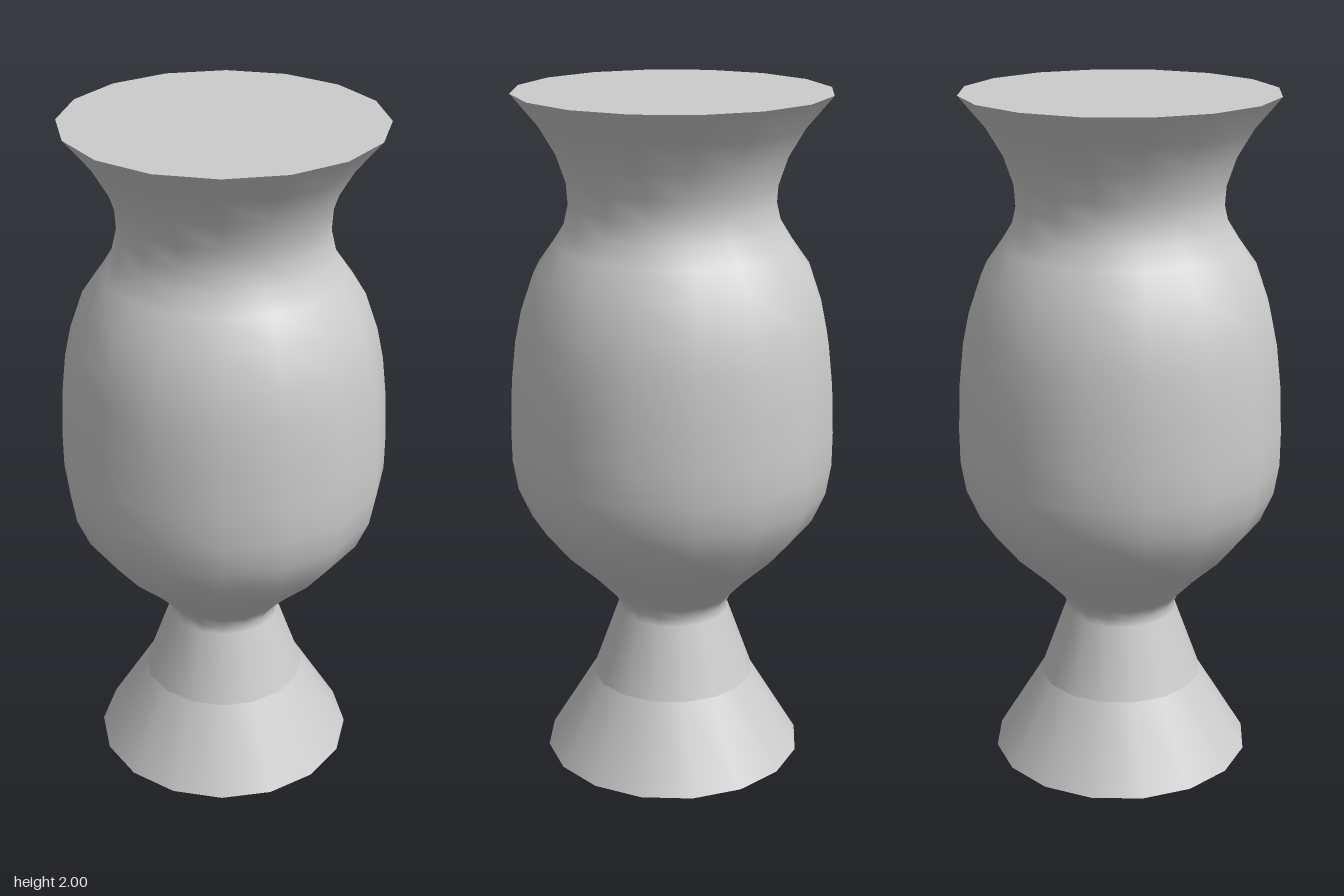
import * as THREE from 'three';

const SIDES = 16;

export function createModel() {
  const group = new THREE.Group();
  const material = new THREE.MeshStandardMaterial({ color: 0xcccccc });

  const add = (name, geometry) => {
    const mesh = new THREE.Mesh(geometry, material);
    mesh.name = name;
    group.add(mesh);
    return mesh;
  };
  // Profiles are lists of [radius, height], from bottom to top
  const lathe = (name, profile) =>
    add(name, new THREE.LatheGeometry(profile.map(([r, y]) => new THREE.Vector2(r, y)), SIDES));
  const disc = (name, radius, y, facing) => {
    const mesh = add(name, new THREE.CircleGeometry(radius, SIDES));
    mesh.rotation.x = -facing * Math.PI / 2;
    mesh.position.y = y;
  };

  // Flared foot, with a crease where it meets the stem
  lathe('foot', [[0.387, 0], [0.243, 0.24]]);

  // Stem, rounded bowl, pinched neck and flared rim in one smooth sweep
  lathe('body', [
    [0.243, 0.24], [0.168, 0.45], [0.165, 0.475], [0.18, 0.505],
    [0.26, 0.59], [0.345, 0.67], [0.42, 0.762], [0.458, 0.85], [0.473, 0.94],
    [0.474, 1.04], [0.468, 1.18], [0.455, 1.3], [0.436, 1.39], [0.398, 1.5],
    [0.345, 1.575], [0.311, 1.63], [0.297, 1.69], [0.301, 1.75],
    [0.328, 1.83], [0.375, 1.91], [0.45, 2],
  ]);

  // Flat closed ends
  disc('base', 0.387, 0, -1);
  disc('top', 0.45, 2, 1);

  return group;
}
